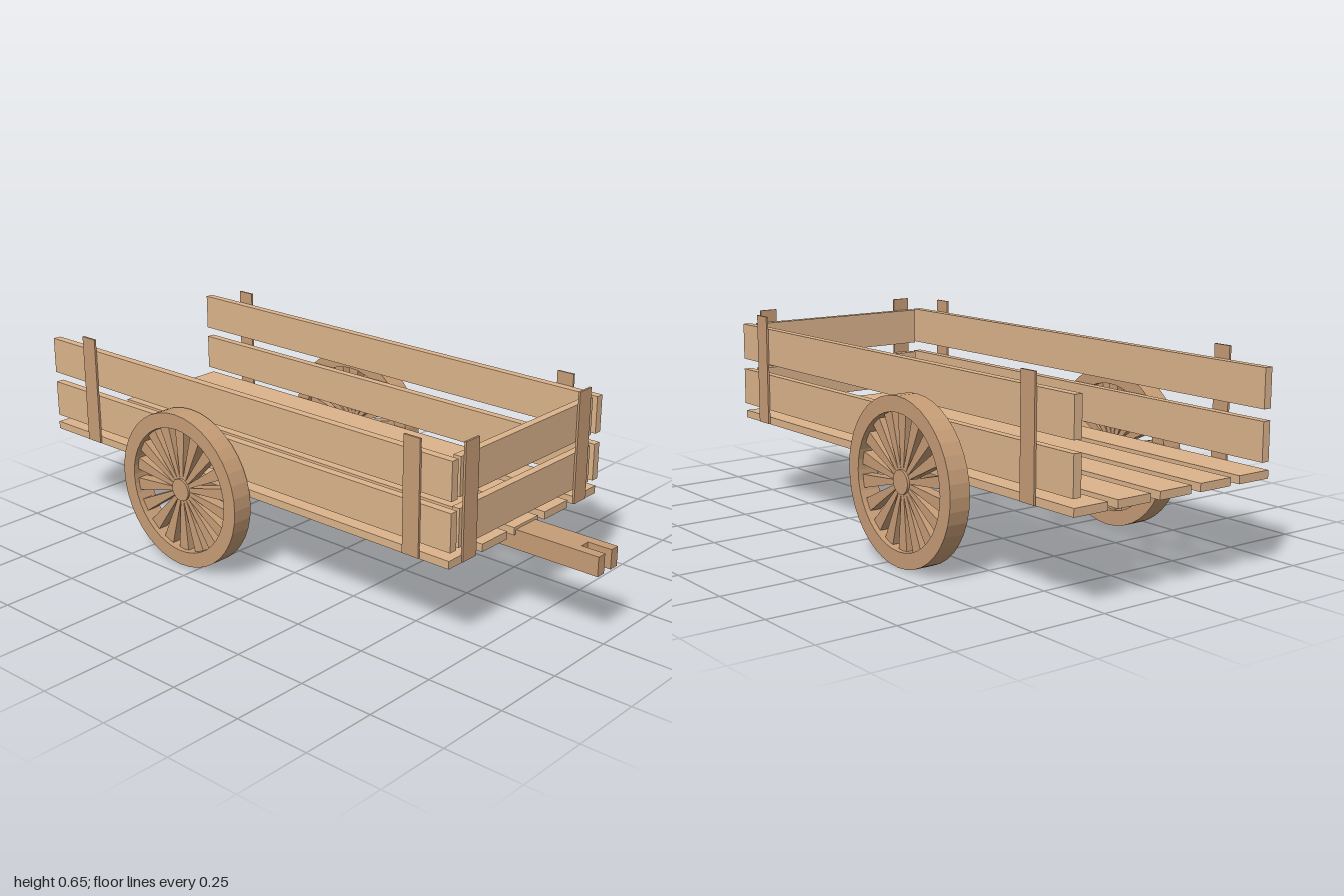
import * as THREE from 'three';

const light = new THREE.MeshStandardMaterial({ color: 0xdcb48c });
const dark = new THREE.MeshStandardMaterial({ color: 0xc69c76 });

// Box given by its low and high limits on each axis
function board(parent, name, material, [x0, x1], [y0, y1], [z0, z1]) {
  const mesh = new THREE.Mesh(new THREE.BoxGeometry(x1 - x0, y1 - y0, z1 - z0), material);
  mesh.position.set((x0 + x1) / 2, (y0 + y1) / 2, (z0 + z1) / 2);
  mesh.name = name;
  parent.add(mesh);
  return mesh;
}

// Flat outline extruded and centred in depth
function slab(shape, depth, curveSegments = 12) {
  return new THREE.ExtrudeGeometry(shape, { depth, bevelEnabled: false, curveSegments })
    .translate(0, 0, -depth / 2);
}

// Spoked wheel in the xy plane, turned so its axis lies along x
function createWheel() {
  const wheel = new THREE.Group();
  const add = (geometry, name) => {
    const mesh = new THREE.Mesh(geometry, dark);
    mesh.name = name;
    wheel.add(mesh);
    return mesh;
  };
  const ring = new THREE.Shape().absarc(0, 0, 0.257, 0, Math.PI * 2);
  ring.holes.push(new THREE.Path().absarc(0, 0, 0.208, 0, Math.PI * 2, true));
  add(slab(ring, 0.069, 20), 'rim');
  add(new THREE.CylinderGeometry(0.037, 0.037, 0.05, 20).rotateX(Math.PI / 2), 'hub');

  // Spokes widen from hub to rim
  const spoke = slab(new THREE.Shape([
    new THREE.Vector2(-0.006, 0.03), new THREE.Vector2(0.006, 0.03),
    new THREE.Vector2(0.021, 0.212), new THREE.Vector2(-0.021, 0.212),
  ]), 0.035);
  const count = 18;
  for (let i = 0; i < count; i++) add(spoke, 'spoke').rotation.z = (i / count) * Math.PI * 2;
  wheel.rotation.y = Math.PI / 2;
  return wheel;
}

export function createModel() {
  const cart = new THREE.Group();
  cart.name = 'cart';
  const rows = [[0.332, 0.452], [0.487, 0.607]];
  const postY = [0.285, 0.648];

  // Floor planks
  for (let i = -2; i <= 2; i++) {
    const x = -0.005 + i * 0.155;
    board(cart, 'floorPlank', light, [x - 0.06, x + 0.06], [0.282, 0.307], [-1, 0.713]);
  }

  // Cross slats under the floor
  for (const z of [-0.73, -0.317, 0.059, 0.434]) {
    board(cart, 'crossSlat', dark, [-0.347, 0.345], [0.276, 0.283], [z - 0.03, z + 0.03]);
  }

  // Side and front boards
  for (const y of rows) {
    board(cart, 'rightSideBoard', light, [-0.374, -0.347], y, [-1, 0.716]);
    board(cart, 'leftSideBoard', light, [0.341, 0.368], y, [-1, 0.716]);
    board(cart, 'frontBoard', light, [-0.33, 0.323], y, [0.685, 0.711]);
  }

  // Thin posts holding the boards
  for (const z of [-0.805, 0.578]) {
    board(cart, 'rightPost', dark, [-0.381, -0.374], postY, [z - 0.03, z + 0.03]);
  }
  for (const z of [-0.82, 0.578]) {
    board(cart, 'leftPost', dark, [0.368, 0.375], postY, [z - 0.03, z + 0.03]);
  }
  for (const x of [-0.286, 0.271]) {
    board(cart, 'frontPost', dark, [x - 0.031, x + 0.031], postY, [0.711, 0.718]);
  }

  // Draw beam with a notched front end, outlined in x and z
  const outline = [[-0.057, -0.81], [-0.057, 1], [-0.024, 1], [-0.024, 0.92],
    [0.01, 0.92], [0.01, 1], [0.043, 1], [0.043, -0.81]];
  const beam = new THREE.Mesh(
    slab(new THREE.Shape(outline.map(([x, z]) => new THREE.Vector2(x, z))), 0.062)
      .rotateX(Math.PI / 2), dark);
  beam.position.y = 0.267;
  beam.name = 'drawBeam';
  cart.add(beam);

  // Axle and wheels
  board(cart, 'axle', dark, [-0.4, 0.4], [0.242, 0.278], [-0.345, -0.291]);
  for (const [x, name] of [[-0.4145, 'rightWheel'], [0.4125, 'leftWheel']]) {
    const wheel = createWheel();
    wheel.name = name;
    wheel.position.set(x, 0.257, -0.318);
    cart.add(wheel);
  }
  return cart;
}
